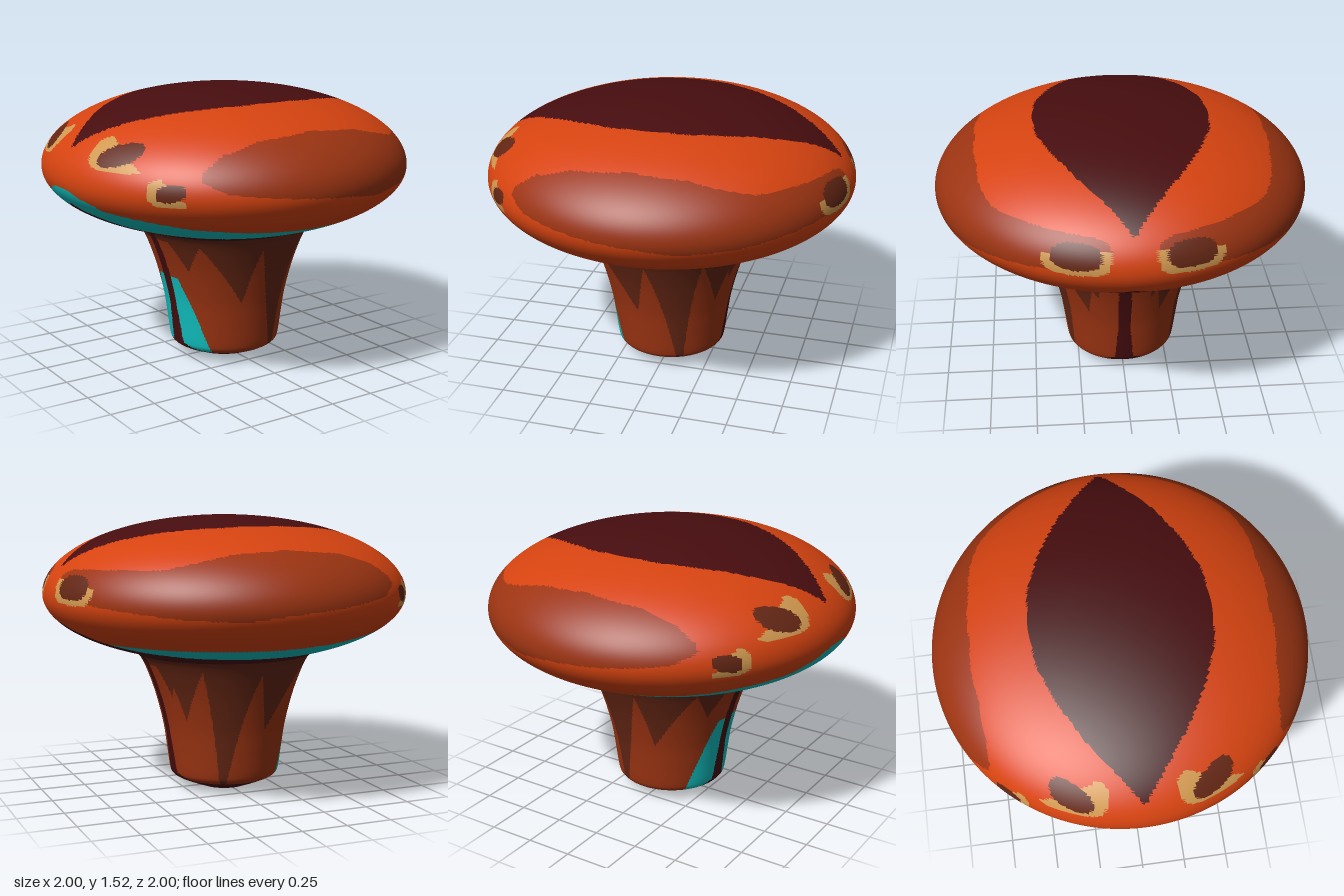
import * as THREE from 'three';

const paint = (name, hex) => {
  const m = new THREE.MeshStandardMaterial({ color: hex });
  m.name = name;
  return m;
};
const ORANGE = 0, RUST = 1, BROWN = 2, MAROON = 3, TAN = 4, TEAL = 5;
const DEG = 180 / Math.PI;

// piecewise linear lookup in a list of [key, value] pairs with rising keys
function lookup(table, k) {
  if (k <= table[0][0]) return table[0][1];
  for (let i = 1; i < table.length; i++) {
    const [k0, v0] = table[i - 1], [k1, v1] = table[i];
    if (k <= k1) return v0 + (v1 - v0) * (k - k0) / (k1 - k0);
  }
  return table[table.length - 1][1];
}

// half widths in z of the pointed lens shapes over and under the cap, by |x|
const topLens = [[0, 0.47], [0.2, 0.45], [0.4, 0.375], [0.6, 0.26], [0.7, 0.185], [0.8, 0.105], [0.93, 0]];
const underLens = [[0, 0.6], [0.25, 0.57], [0.5, 0.45], [0.7, 0.3], [0.85, 0.16], [0.946, 0]];
// upper edge of the teal band, by x
const tealEdge = [[-1, 1.07], [-0.97, 1.03], [-0.9, 0.98], [-0.6, 0.92], [-0.3, 0.89], [0, 0.875], [1, 0.875]];
// upper and lower edges of the side patch, by angle from +x
const patchTop = [[6, 1.2], [8, 1.245], [12, 1.262], [35, 1.275], [48, 1.28], [57, 1.31], [70, 1.352],
  [90, 1.37], [112, 1.345], [124, 1.29], [129, 1.225], [130, 1.185]];
const patchLow = [[6, 1.2], [14, 1.13], [25, 1.1], [40, 1.08], [57, 1.053], [74, 1.043], [86, 1.07],
  [102, 1.09], [122, 1.125], [130, 1.185]];
// lower edge of the hanging spikes on the stem, by angle from +x
const spikes = [[0, 0.72], [14, 0.72], [22, 0.55], [26, 0.61], [33, 0.42], [53, 0.71], [63, 0.06], [69, 0.06],
  [95, 0.69], [107, 0.37], [140, 0.71], [152, 0.55], [165, 0.72], [180, 0.72]];

// eye spots: angle from +x, height, half sizes, tilt, ring half sizes, slope of the ring's open side
const eyes = [
  { a: 16.5, y: 1.175, w: 0.128, h: 0.062, tilt: 0, rw: 0.172, rh: 0.088, open: 0.1, side: -1 },
  { a: 157, y: 1.268, w: 0.12, h: 0.05, tilt: -0.2, rw: 0.185, rh: 0.075, open: 0.5, side: 1 },
  { a: 138, y: 1.12, w: 0.075, h: 0.043, tilt: -0.15, rw: 0.115, rh: 0.068, open: 0.9, side: 1 },
];

function eyeColour(angle, y, r) {
  for (const e of eyes) {
    const u = e.side * (angle - e.a) / DEG * r; // positive toward the x axis
    const v = y - e.y, t = v - e.tilt * u;
    if (Math.abs(u / e.w) ** 2.4 + Math.abs(t / e.h) ** 2.4 < 1) return BROWN;
    const inRing = Math.abs(u / e.rw) ** 3.5 + Math.abs(v / e.rh) ** 3.5 < 1;
    if (inRing && v < 0.02 + e.open * u) return TAN;
  }
  return -1;
}

function capColour(x, y, z) {
  const az = Math.abs(z), ax = Math.abs(x), r = Math.hypot(x, z);
  const angle = Math.atan2(az, x) * DEG;
  if (y < 1.1) {
    if (az < lookup(underLens, ax) && ax < 0.946) return MAROON;
    if (y < lookup(tealEdge, x)) return TEAL;
  } else if (ax < 0.93 && az < lookup(topLens, ax)) return MAROON;
  const eye = eyeColour(angle, y, r);
  if (eye >= 0) return eye;
  const inPatch = angle > 6 && angle < 130 && y < lookup(patchTop, angle) && y > lookup(patchLow, angle);
  return inPatch ? RUST : ORANGE;
}

function stemColour(x, y, z) {
  const az = Math.abs(z);
  const angle = Math.atan2(az, x) * DEG;
  const off = Math.min(angle, 180 - angle); // angle from the nearer end of the x axis
  if (y > 0.765 || y < 0.063 + 0.05 * Math.exp(-((off / 22) ** 2))) return MAROON;
  if (az < 0.035 + 0.025 * Math.max(0, 1 - y / 0.3)) return MAROON;
  if (y < 0.5 && 180 - angle < 44 - 30 * (y - 0.07) / 0.43) return TEAL;
  return y > lookup(spikes, angle) ? BROWN : RUST;
}

// sorts the triangles of a geometry into one material group per colour
function colourFaces(geometry, rule) {
  const p = geometry.attributes.position, src = geometry.index.array;
  const buckets = Array.from({ length: 6 }, () => []);
  for (let i = 0; i < src.length; i += 3) {
    const t = [src[i], src[i + 1], src[i + 2]];
    const mid = (get) => t.reduce((s, k) => s + p[get](k), 0) / 3;
    buckets[rule(mid('getX'), mid('getY'), mid('getZ'))].push(...t);
  }
  const index = [];
  buckets.forEach((list, m) => {
    if (!list.length) return;
    geometry.addGroup(index.length, list.length, m);
    for (const k of list) index.push(k);
  });
  geometry.setIndex(index);
  return geometry;
}

export function createModel() {
  const materials = [
    paint('orange', 0xd64310), paint('rust', 0x9c3412), paint('brown', 0x632614),
    paint('maroon', 0x470d0f), paint('tan', 0xd09850), paint('teal', 0x12c2c2),
  ];
  const group = new THREE.Group();
  group.name = 'mushroom';
  const add = (name, geometry, rule) => {
    const mesh = new THREE.Mesh(colourFaces(geometry, rule), materials);
    mesh.name = name;
    group.add(mesh);
    return mesh;
  };
  const v2 = (x, y) => new THREE.Vector2(x, y);

  // cap: two half ellipses of different height, slightly flattened on top
  const cap = [v2(0.49, 0.765)];
  for (let i = 0; i <= 40; i++) {
    const t = -1.03 * (1 - i / 40);
    cap.push(v2(Math.cos(t), 1.1 + 0.37 * Math.sin(t)));
  }
  for (let i = 1; i <= 84; i++) {
    const t = (Math.PI / 2) * (i / 84);
    cap.push(v2(Math.max(0, Math.cos(t)), 1.1 + 0.423 * Math.sin(t)));
  }
  add('cap', new THREE.LatheGeometry(cap, 256), capColour);

  // stem: flared column with a bevelled foot
  const foot = [v2(0.13, 0.005), v2(0.2, 0.032), v2(0.265, 0.06)];
  const side = new THREE.SplineCurve([
    v2(0.265, 0.06), v2(0.295, 0.08), v2(0.308, 0.115), v2(0.325, 0.24), v2(0.345, 0.37),
    v2(0.385, 0.53), v2(0.43, 0.66), v2(0.465, 0.735), v2(0.49, 0.765), v2(0.515, 0.783),
  ]).getSpacedPoints(80);
  add('stem', new THREE.LatheGeometry([...foot, ...side.slice(1)], 256), stemColour);

  // underside of the foot
  const disc = new THREE.RingGeometry(0, 0.13, 64, 10);
  disc.rotateX(Math.PI / 2);
  disc.translate(0, 0.005, 0);
  add('footDisc', disc, (x, y, z) => (-x * 0.79 - z * 0.61 > 0.04 ? TEAL : RUST));

  return group;
}
